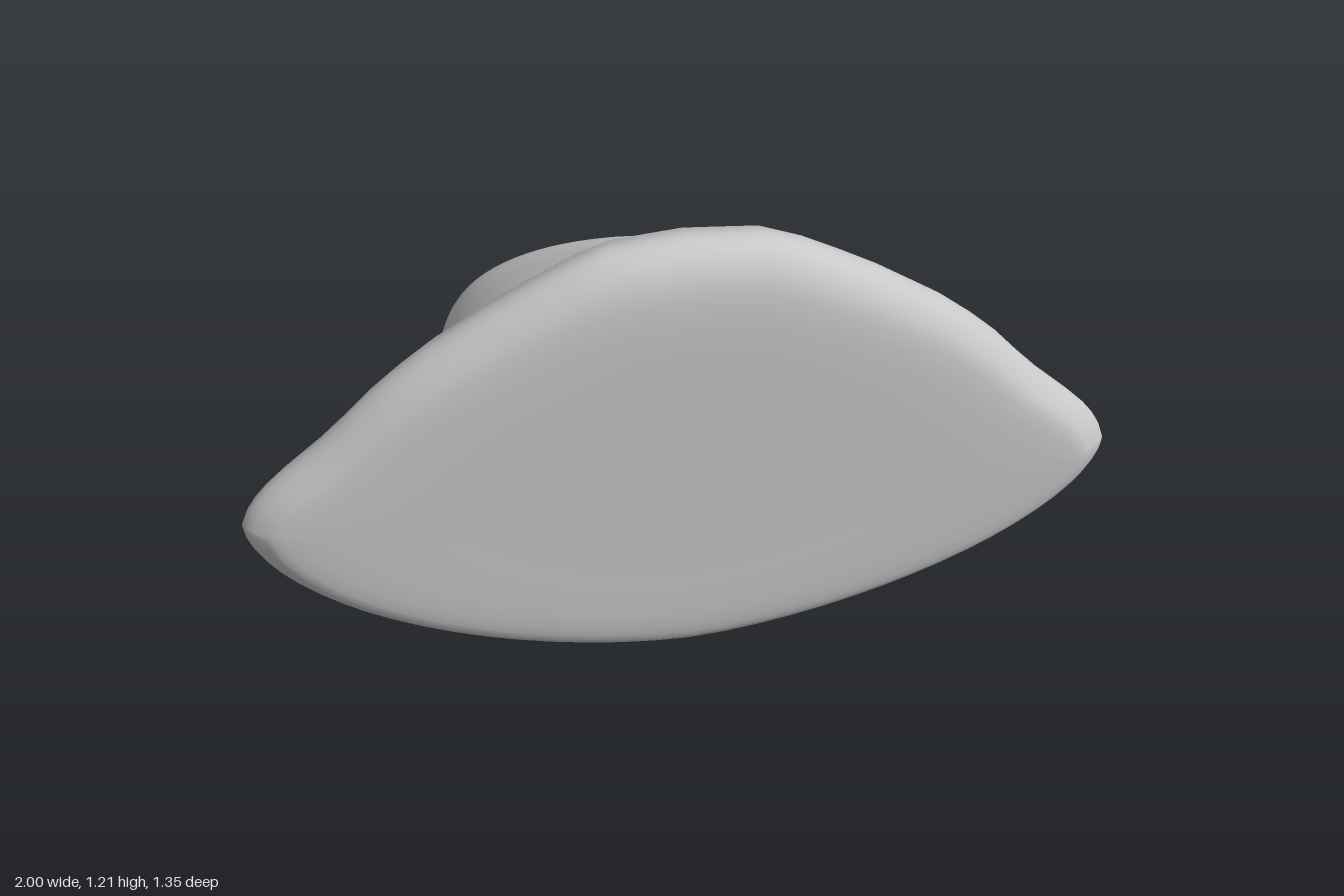
import * as THREE from 'three';

// Cross-sections from front to back:
// z, left x (-), right x (+), top y, bottom y, side y (-x), side y (+x), roundness
const SECTIONS = [
  [0.672, 0.00, 0.00, 0.56, 0.56, 0.56, 0.56, 0],
  [0.672, 0.45, 0.45, 0.84, 0.36, 0.57, 0.55, 0],
  [0.670, 0.86, 0.86, 1.07, 0.17, 0.58, 0.54, 0],
  [0.645, 0.96, 0.96, 1.17, 0.10, 0.58, 0.54, 0],
  [0.590, 1.00, 1.00, 1.21, 0.068, 0.58, 0.54, 0],
  [0.520, 0.95, 0.94, 1.19, 0.056, 0.56, 0.53, 0.05],
  [0.400, 0.84, 0.82, 1.11, 0.053, 0.50, 0.48, 0.15],
  [0.200, 0.67, 0.65, 0.965, 0.047, 0.40, 0.39, 0.35],
  [0.000, 0.57, 0.555, 0.775, 0.02, 0.33, 0.33, 0.6],
  [-0.200, 0.53, 0.52, 0.67, 0.006, 0.28, 0.28, 0.8],
  [-0.400, 0.49, 0.44, 0.56, 0.00, 0.25, 0.25, 0.95],
  [-0.520, 0.455, 0.385, 0.50, 0.012, 0.235, 0.235, 1],
  [-0.600, 0.41, 0.34, 0.44, 0.05, 0.23, 0.23, 1],
  [-0.650, 0.33, 0.28, 0.36, 0.115, 0.23, 0.23, 1],
  [-0.673, 0.17, 0.15, 0.28, 0.18, 0.23, 0.23, 1],
  [-0.675, 0.00, 0.00, 0.23, 0.23, 0.23, 0.23, 1],
];

// Height of the front plate's upper outline against distance from the middle
const OUTLINE = [[0, 1], [0.2, 0.975], [0.4, 0.82], [0.6, 0.63], [0.7, 0.5], [0.8, 0.34], [0.93, 0.17], [0.98, 0.08], [1, 0]];

const lerp = THREE.MathUtils.lerp;

function outlineHeight(u) {
  let i = 0;
  while (i < OUTLINE.length - 2 && u > OUTLINE[i + 1][0]) i++;
  const [a, b] = [OUTLINE[i], OUTLINE[i + 1]];
  return lerp(a[1], b[1], (u - a[0]) / (b[0] - a[0]));
}

const superellipse = (u, n) => Math.pow(Math.max(0, 1 - Math.pow(u, n)), 1 / n);

// Catmull-Rom blend of every column of the section table
function sectionAt(t) {
  const last = SECTIONS.length - 1;
  const i = Math.min(Math.floor(t), last - 1);
  const f = t - i;
  const row = (k) => SECTIONS[THREE.MathUtils.clamp(k, 0, last)];
  return row(i).map((b, c) => {
    const a = row(i - 1)[c], d = row(i + 1)[c], e = row(i + 2)[c];
    return b + 0.5 * f * (d - a + f * (2 * a - 5 * b + 4 * d - e + f * (3 * (b - d) + e - a)));
  });
}

function loftGeometry(sides, steps) {
  const positions = [];
  const indices = [];
  const rings = (SECTIONS.length - 1) * steps;
  for (let r = 0; r <= rings; r++) {
    const [z, xl, xr, top, bottom, yl, yr, round] = sectionAt(r / steps);
    for (let s = 0; s < sides; s++) {
      const angle = (s / sides) * Math.PI * 2;
      const c = Math.cos(angle);
      const u = Math.min(1, Math.abs(c));
      const side = lerp(yl, yr, (c + 1) / 2);
      const up = lerp(outlineHeight(u), superellipse(u, 2.2), round);
      const down = superellipse(u, lerp(1.7, 2.05, round));
      const y = s <= sides / 2 ? side + (top - side) * up : side - (side - bottom) * down;
      positions.push(c * (c < 0 ? xl : xr), y, z);
      if (r < rings) {
        const a = r * sides + s;
        const b = r * sides + (s + 1) % sides;
        indices.push(a, a + sides, b, b, a + sides, b + sides);
      }
    }
  }
  const geometry = new THREE.BufferGeometry();
  geometry.setAttribute('position', new THREE.Float32BufferAttribute(positions, 3));
  geometry.setIndex(indices);
  geometry.computeVertexNormals();
  return geometry;
}

export function createModel() {
  const group = new THREE.Group();
  group.name = 'flaredBlock';
  const lightGrey = new THREE.MeshStandardMaterial({ color: 0xc8c8c8 });
  lightGrey.name = 'lightGrey';

  // One smooth body: broad flat front plate tapering to a rounded rear
  const body = new THREE.Mesh(loftGeometry(72, 4), lightGrey);
  body.name = 'body';
  group.add(body);
  return group;
}
